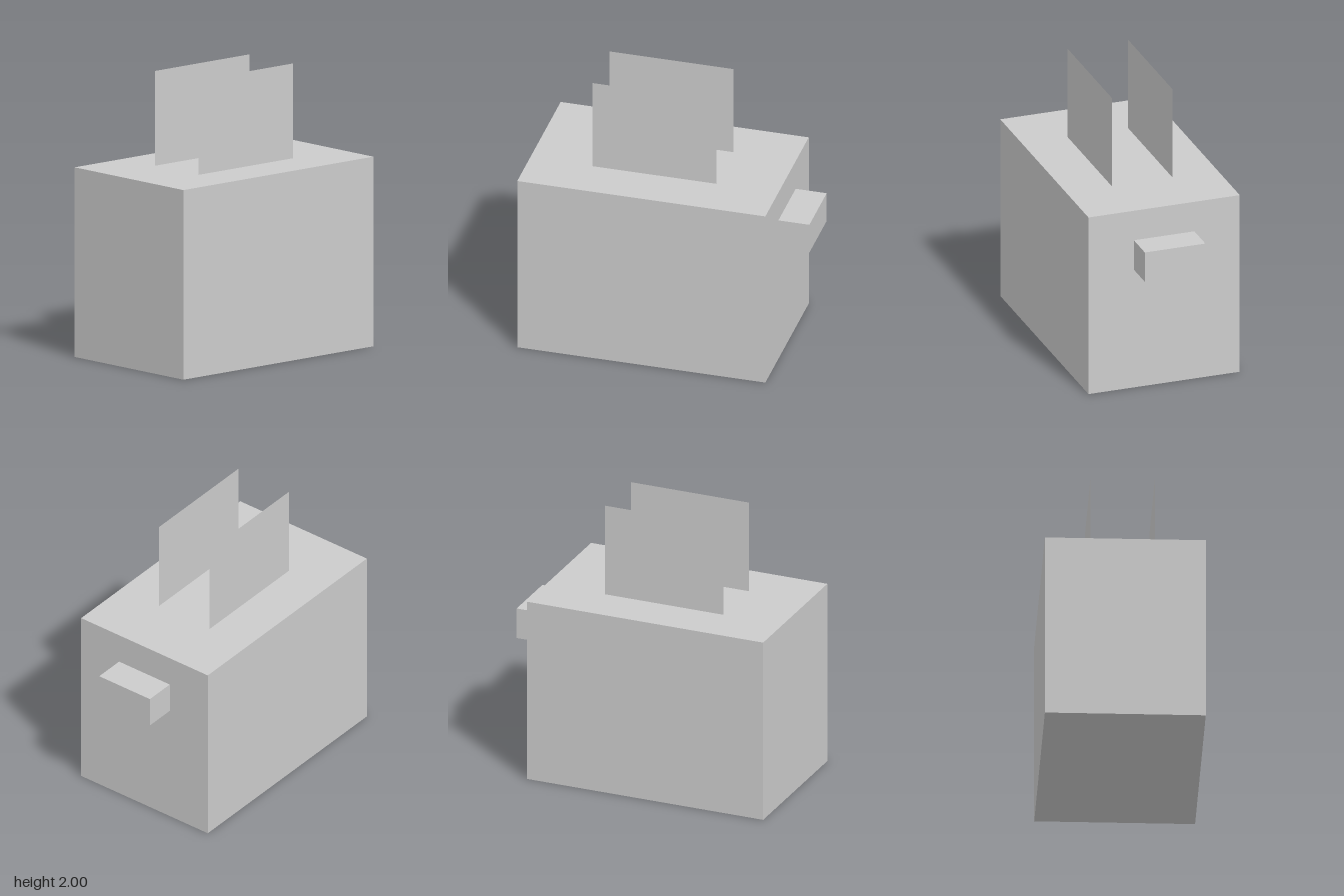
import * as THREE from 'three';

const U = 1 / 9; // design unit: the model is 18 units tall and wide

export function createModel() {
  const group = new THREE.Group();
  const solid = new THREE.MeshStandardMaterial({ color: 0xcccccc, flatShading: true });
  const sheet = new THREE.MeshStandardMaterial({ color: 0xcccccc, flatShading: true, side: THREE.DoubleSide });

  const add = (name, geometry, material, x, y, z) => {
    const mesh = new THREE.Mesh(geometry, material);
    mesh.name = name;
    mesh.position.set(x * U, y * U, z * U);
    group.add(mesh);
  };

  // Toaster housing
  add('body', new THREE.BoxGeometry(16 * U, 12 * U, 10 * U), solid, -1, 6, 0);

  // Push-down lever on the +x side
  add('lever', new THREE.BoxGeometry(2 * U, 2 * U, 4 * U), solid, 8, 9, 0);

  // Two paper-thin slices of toast standing on the top
  for (const [name, z] of [['frontToast', 2], ['backToast', -2]]) {
    add(name, new THREE.PlaneGeometry(8 * U, 6 * U), sheet, -1, 15, z);
  }

  return group;
}
